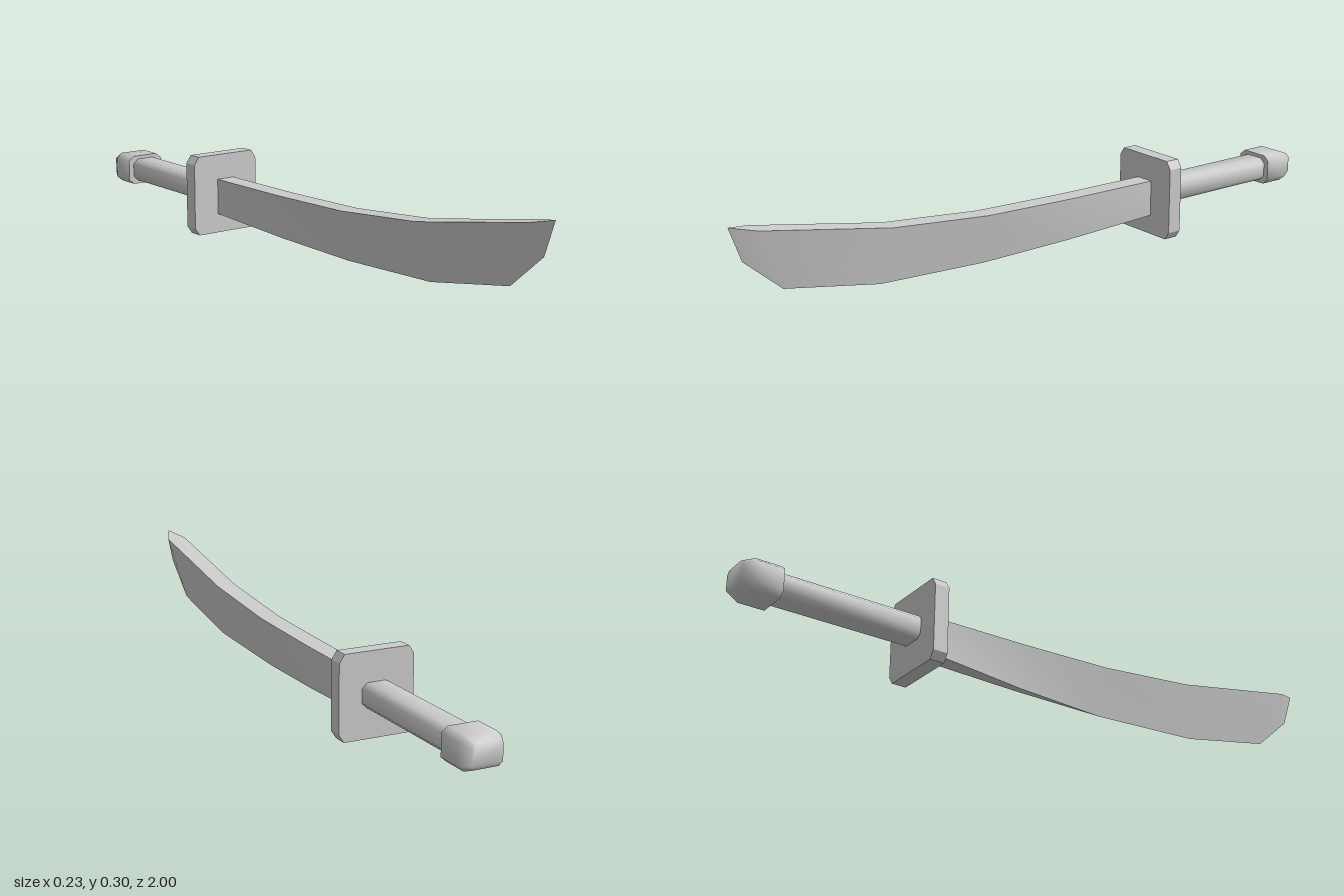
import * as THREE from 'three';
import { toCreasedNormals } from 'three/addons/utils/BufferGeometryUtils.js';

const material = new THREE.MeshStandardMaterial({ color: 0xcccccc });
const AXIS_Y = 0.124; // height of the handle's centre line

// Skins a row of equal-length rings (counter-clockwise seen from +z, z rising) and caps both ends.
function loft(name, rings, crease) {
  const positions = [];
  const tri = (a, b, c) => {
    const area = new THREE.Triangle(a, b, c).getArea();
    if (area > 1e-8) for (const p of [a, b, c]) positions.push(p.x, p.y, p.z);
  };
  const n = rings[0].length;
  for (let i = 0; i < rings.length - 1; i++) {
    for (let k = 0; k < n; k++) {
      const j = (k + 1) % n;
      const [a, b, c, d] = [rings[i][k], rings[i][j], rings[i + 1][j], rings[i + 1][k]];
      tri(a, b, c);
      tri(a, c, d);
    }
  }
  const back = rings[0], front = rings[rings.length - 1];
  for (let k = 1; k < n - 1; k++) {
    tri(back[0], back[k + 1], back[k]);
    tri(front[0], front[k], front[k + 1]);
  }
  const geometry = new THREE.BufferGeometry();
  geometry.setAttribute('position', new THREE.Float32BufferAttribute(positions, 3));
  const mesh = new THREE.Mesh(toCreasedNormals(geometry, crease), material);
  mesh.name = name;
  return mesh;
}

// Rectangle of half-size hx, hy with corners cut by cx, cy.
function cutRect(z, hx, hy, cx, cy) {
  return [
    [hx, -hy + cy], [hx, hy - cy], [hx - cx, hy], [-hx + cx, hy],
    [-hx, hy - cy], [-hx, -hy + cy], [-hx + cx, -hy], [hx - cx, -hy],
  ].map(([x, y]) => new THREE.Vector3(x, AXIS_Y + y, z));
}

export function createModel() {
  const group = new THREE.Group();
  group.name = 'curvedSword';

  // Blade: flat spine above, narrowing to a sharp edge below.
  // [spine z, spine y, spine half-width, edge z, edge y, edge half-width]
  const stations = [
    [-0.42, 0.17, 0.03, -0.42, 0.06, 0.03],
    [-0.1, 0.173, 0.03, -0.1, 0.04, 0.012],
    [0.2, 0.181, 0.03, 0.2, 0.031, 0],
    [0.52, 0.21, 0.03, 0.55, 0.045, 0],
    [0.93, 0.285, 0.03, 0.85, 0.1, 0],
    [0.93, 0.285, 0.03, 0.965, 0.2, 0],
    [1, 0.3, 0, 1, 0.3, 0],
  ];
  const bladeRings = stations.map(([sz, sy, sw, ez, ey, ew]) => [
    new THREE.Vector3(sw, sy, sz), new THREE.Vector3(-sw, sy, sz),
    new THREE.Vector3(-ew, ey, ez), new THREE.Vector3(ew, ey, ez),
  ]);
  group.add(loft('blade', bladeRings, 0.6));

  // Guard: thick plate with cut corners
  group.add(loft('guard', [-0.458, -0.413].map((z) => cutRect(z, 0.115, 0.124, 0.016, 0.024)), 0.3));

  // Grip: rounded bar
  group.add(loft('grip', [-0.9, -0.44].map((z) => cutRect(z, 0.045, 0.036, 0.016, 0.015)), 1.1));

  // Pommel: wider block with a tapered end
  group.add(loft('pommel', [
    cutRect(-1, 0.045, 0.033, 0.012, 0.01),
    cutRect(-0.965, 0.062, 0.047, 0.018, 0.015),
    cutRect(-0.887, 0.062, 0.047, 0.018, 0.015),
  ], 1.2));

  return group;
}
